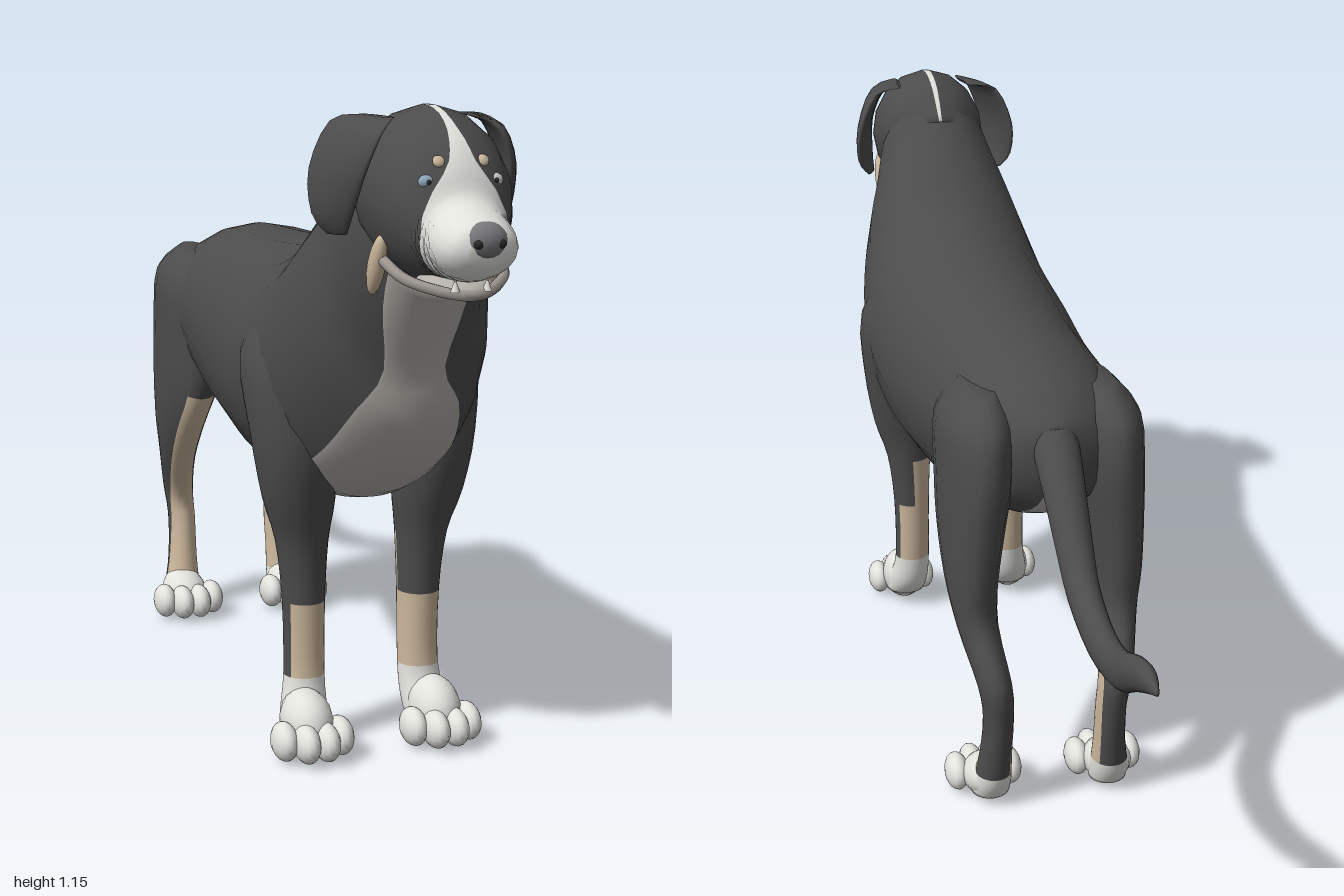
import * as THREE from 'three';

const mat = (color) => new THREE.MeshStandardMaterial({ color });
const M = {
  dark: mat(0x4c4c4c), white: mat(0xe2e2dd), chest: mat(0xb4b1aa), tan: mat(0xcbb79c),
  nose: mat(0x77777a), black: mat(0x2a2a2a), lip: mat(0x9c958f), blue: mat(0x8fa5ba), pale: mat(0xc8cccf),
};
const SEG = 32, SUB = 3;

// Catmull-Rom blend of the ring list at parameter t
function ringAt(rings, t) {
  const i = Math.min(Math.floor(t), rings.length - 2), f = t - i;
  const at = (k) => rings[Math.max(0, Math.min(rings.length - 1, k))];
  const [p, q, r, s] = [at(i - 1), at(i), at(i + 1), at(i + 2)];
  return q.map((b, k) => {
    const a = p[k], c = r[k], d = s[k];
    return b + 0.5 * f * (c - a + f * (2 * a - 5 * b + 4 * c - d + f * (3 * (b - c) + d - a)));
  });
}

// Smooth closed loft. Ring: [aZ, aY, bZ, bY, halfWidth, markAngle, centreX, skewX], where a and b are
// opposite points on the outline and markAngle is the half angle of the marking around a.
function loft(name, list, paint) {
  const rings = list.map((r) => [...r, ...[Math.PI / 2, 0, 0].slice(r.length - 5)]);
  const rows = (rings.length - 1) * SUB, pos = [], faces = [], H = SEG / 2;
  const angle = (j, s) => {
    const u = Math.abs(j - H) / H;
    return Math.sign(j - H) * (u <= 0.5 ? 2 * u * s : s + (2 * u - 1) * (Math.PI - s));
  };
  for (let i = 0; i <= rows; i++) {
    const [az, ay, bz, by, w, s, cx, skew] = ringAt(rings, i / SUB);
    for (let j = 0; j < SEG; j++) {
      const th = angle(j, Math.max(0.05, Math.min(3.05, s))), c = Math.cos(th);
      pos.push(cx + skew * c + w * Math.sin(th), (ay + by) / 2 + c * (ay - by) / 2, (az + bz) / 2 + c * (az - bz) / 2);
    }
  }
  const add = (a, b, c, key) => faces.push({ v: [a, b, c], key });
  for (let i = 0; i < rows; i++) for (let j = 0; j < SEG; j++) {
    const k = (j + 1) % SEG, a = i * SEG + j, b = i * SEG + k;
    const key = paint((i + 0.5) / SUB, j >= H / 2 && j < H * 1.5, angle(j + 0.5, Math.PI / 2));
    add(a, b, a + SEG, key);
    add(b, b + SEG, a + SEG, key);
  }
  // end caps
  for (const i of [0, rows]) {
    const r = rings[i / SUB], centre = pos.length / 3;
    pos.push(r[6], (r[1] + r[3]) / 2, (r[0] + r[2]) / 2);
    for (let j = 0; j < SEG; j++) {
      const a = i * SEG + j, b = i * SEG + (j + 1) % SEG, key = paint(i / SUB, false, 0);
      if (i) add(a, b, centre, key); else add(b, a, centre, key);
    }
  }
  // turn the faces outward
  const P = (i) => new THREE.Vector3().fromArray(pos, i * 3), o = P(0);
  let volume = 0;
  for (const { v } of faces) volume += P(v[0]).sub(o).dot(P(v[1]).sub(o).cross(P(v[2]).sub(o)));
  if (volume < 0) faces.forEach((f) => f.v.reverse());
  const base = new THREE.BufferGeometry();
  base.setAttribute('position', new THREE.Float32BufferAttribute(pos, 3));
  base.setIndex(faces.flatMap((f) => f.v));
  base.computeVertexNormals();
  // one mesh per coat colour, sharing the same normals
  const group = new THREE.Group();
  group.name = name;
  for (const key of new Set(faces.map((f) => f.key))) {
    const g = new THREE.BufferGeometry();
    g.setAttribute('position', base.attributes.position);
    g.setAttribute('normal', base.attributes.normal);
    g.setIndex(faces.filter((f) => f.key === key).flatMap((f) => f.v));
    const mesh = new THREE.Mesh(g, M[key]);
    mesh.name = `${name} ${key}`;
    group.add(mesh);
  }
  return group;
}

function ball(name, key, p, s, rotX = 0) {
  const m = new THREE.Mesh(new THREE.SphereGeometry(1, 16, 12), M[key]);
  m.name = name;
  m.position.set(...p);
  m.scale.set(...s);
  m.rotation.x = rotX;
  return m;
}

// Paw with four toes; z is the heel end
function paw(name, side, x, z, high) {
  const g = new THREE.Group();
  g.name = name;
  g.add(ball('pawBack', 'white', [side * x, high * 0.5, z + 0.06], [0.046, high * 0.5, 0.065], 0.3));
  [-0.051, -0.018, 0.018, 0.051].forEach((dx, i) => {
    const inner = i === 1 || i === 2;
    g.add(ball('toe', 'white', [side * x + dx, 0.034, z + (inner ? 0.115 : 0.092)], [0.023, 0.034, inner ? 0.044 : 0.042]));
  });
  return g;
}

export function createModel() {
  const model = new THREE.Group();

  // torso and neck, marking runs along the underside
  model.add(loft('body', [
    [-0.4, 0.66, -0.395, 0.76, 0.03, 0.3],
    [-0.37, 0.6, -0.365, 0.785, 0.1, 0.3],
    [-0.3, 0.555, -0.295, 0.826, 0.15, 0.35],
    [-0.19, 0.52, -0.17, 0.853, 0.172, 0.4],
    [0, 0.46, 0, 0.863, 0.182, 0.4],
    [0.2, 0.433, 0.2, 0.873, 0.2, 0.45],
    [0.36, 0.428, 0.353, 0.89, 0.203, 0.55],
    [0.5, 0.45, 0.433, 0.922, 0.198, 0.72],
    [0.6, 0.51, 0.505, 0.98, 0.182, 0.7],
    [0.68, 0.61, 0.56, 1.028, 0.16, 0.6],
    [0.7, 0.7, 0.61, 1.07, 0.137, 0.4],
    [0.745, 0.79, 0.66, 1.11, 0.117, 0.65],
    [0.785, 0.855, 0.72, 1.11, 0.09, 0.9],
  ], (t, mark) => (mark ? 'chest' : 'dark')));

  // head with a blaze that widens into the muzzle
  model.add(loft('head', [
    [0.6, 1.06, 0.66, 0.95, 0.06, 0.05],
    [0.66, 1.12, 0.7, 0.9, 0.104, 0.05],
    [0.73, 1.143, 0.74, 0.875, 0.117, 0.05],
    [0.8, 1.133, 0.8, 0.87, 0.114, 0.05],
    [0.86, 1.098, 0.835, 0.872, 0.1, 0.13],
    [0.89, 1.055, 0.86, 0.88, 0.085, 0.4],
    [0.907, 1.015, 0.885, 0.885, 0.073, 1.5],
    [0.95, 0.997, 0.925, 0.888, 0.066, 2.8],
    [0.983, 0.98, 0.965, 0.9, 0.053, 3],
    [0.993, 0.955, 0.985, 0.92, 0.028, 3],
  ], (t, mark) => (mark || t > 6 ? 'white' : 'dark')));

  // lower jaw, teeth, nose
  model.add(ball('lowerJaw', 'chest', [0, 0.878, 0.86], [0.058, 0.02, 0.075], 0.1));
  model.add(ball('nose', 'nose', [0, 0.957, 0.972], [0.037, 0.029, 0.028], -0.2));
  const lips = new THREE.CatmullRomCurve3([[-0.1, 0.915, 0.79], [-0.078, 0.885, 0.865], [0, 0.868, 0.93],
    [0.078, 0.885, 0.865], [0.1, 0.915, 0.79]].map((p) => new THREE.Vector3(...p)));
  const lip = new THREE.Mesh(new THREE.TubeGeometry(lips, 24, 0.009, 8), M.lip);
  lip.name = 'lips';
  model.add(lip);

  // tail
  model.add(loft('tail', [
    [-0.32, 0.81, -0.38, 0.69, 0.045],
    [-0.42, 0.74, -0.42, 0.64, 0.04],
    [-0.51, 0.645, -0.485, 0.57, 0.034],
    [-0.595, 0.562, -0.565, 0.497, 0.029],
    [-0.705, 0.53, -0.69, 0.46, 0.026],
    [-0.8, 0.54, -0.82, 0.475, 0.024],
    [-0.885, 0.575, -0.905, 0.52, 0.021],
    [-0.95, 0.59, -0.965, 0.55, 0.014],
    [-1, 0.575, -1, 0.565, 0.003],
  ], () => 'dark'));

  for (const side of [1, -1]) {
    const label = side > 0 ? 'left' : 'right';
    const onSide = (rings) => rings.map(([a, b, c, d, w, x, s, k = 0]) => [a, b, c, d, w, s, side * x, side * k]);
    const outer = (th, spread) => Math.abs(th - side * Math.PI / 2) < spread;

    // foreleg from shoulder to paw, dark strip down the outside
    model.add(loft(label + 'FrontLeg', onSide([
      [0.48, 0.81, 0.36, 0.81, 0.03, 0.12, 1.57],
      [0.54, 0.7, 0.31, 0.7, 0.078, 0.131, 1.57],
      [0.55, 0.56, 0.36, 0.56, 0.074, 0.128, 1.57],
      [0.525, 0.45, 0.39, 0.45, 0.064, 0.12, 1.57],
      [0.5, 0.37, 0.4, 0.37, 0.047, 0.112, 1.57],
      [0.49, 0.26, 0.408, 0.26, 0.038, 0.108, 1.57],
      [0.488, 0.125, 0.418, 0.125, 0.037, 0.108, 1.57],
      [0.51, 0.07, 0.43, 0.06, 0.042, 0.114, 1.57],
      [0.53, 0.03, 0.455, 0.025, 0.042, 0.118, 1.57],
    ]), (t, mark, th) => {
      if (t > 6) return 'white';
      const innerBack = t > 4 && !mark && side * th < 0;
      return (t > 5 && !outer(th, 0.6)) || innerBack ? 'tan' : 'dark';
    }));
    model.add(paw(label + 'FrontPaw', side, 0.12, 0.445, 0.11));

    // hind leg from hip to paw, tan along the front edge
    model.add(loft(label + 'HindLeg', onSide([
      [-0.15, 0.79, -0.32, 0.8, 0.03, 0.11, 0.5],
      [-0.09, 0.72, -0.395, 0.755, 0.066, 0.118, 0.5],
      [-0.095, 0.6, -0.417, 0.67, 0.066, 0.122, 0.5],
      [-0.13, 0.505, -0.408, 0.57, 0.058, 0.13, 0.5],
      [-0.2, 0.42, -0.395, 0.46, 0.047, 0.136, 0.6],
      [-0.28, 0.335, -0.388, 0.375, 0.037, 0.132, 0.7],
      [-0.352, 0.25, -0.445, 0.28, 0.031, 0.115, 0.9],
      [-0.357, 0.19, -0.437, 0.2, 0.028, 0.108, 1.2],
      [-0.347, 0.11, -0.42, 0.11, 0.03, 0.11, 1.4],
      [-0.335, 0.055, -0.408, 0.05, 0.036, 0.114, 1.5],
      [-0.325, 0.02, -0.39, 0.015, 0.036, 0.115, 1.5],
    ]), (t, mark, th) => {
      if (t > 8.6) return 'white';
      const innerLow = t > 6 && side * th < 0 && th * side > -2.4;
      return (mark && t > 3) || innerLow ? 'tan' : 'dark';
    }));
    model.add(paw(label + 'HindPaw', side, 0.118, -0.4, 0.085));

    // folded ear, flared toward the back
    model.add(loft(label + 'Ear', onSide([
      [0.77, 1.125, 0.67, 1.125, 0.01, 0.075, 1.57, -0.005],
      [0.8, 1.105, 0.655, 1.115, 0.015, 0.115, 1.57, -0.016],
      [0.795, 1.05, 0.65, 1.04, 0.014, 0.143, 1.57, -0.022],
      [0.755, 0.98, 0.665, 0.97, 0.012, 0.147, 1.57, -0.018],
      [0.725, 0.94, 0.68, 0.938, 0.006, 0.137, 1.57, -0.008],
    ]), () => 'dark'));

    // face details
    model.add(ball(label + 'Eye', side > 0 ? 'pale' : 'blue', [side * 0.055, 1.036, 0.877], [0.014, 0.011, 0.01]));
    model.add(ball(label + 'Pupil', 'black', [side * 0.055, 1.036, 0.885], [0.004, 0.004, 0.004]));
    model.add(ball(label + 'Brow', 'tan', [side * 0.036, 1.066, 0.876], [0.01, 0.01, 0.006], -0.6));
    model.add(ball(label + 'Nostril', 'black', [side * 0.018, 0.954, 0.993], [0.008, 0.007, 0.006]));
    model.add(ball(label + 'Cheek', 'tan', [side * 0.1, 0.9, 0.785], [0.014, 0.055, 0.018], 0.45));
    const fang = new THREE.Mesh(new THREE.ConeGeometry(0.008, 0.022, 8), M.white);
    fang.name = label + 'Fang';
    fang.position.set(side * 0.026, 0.885, 0.925);
    model.add(fang);
  }
  return model;
}
